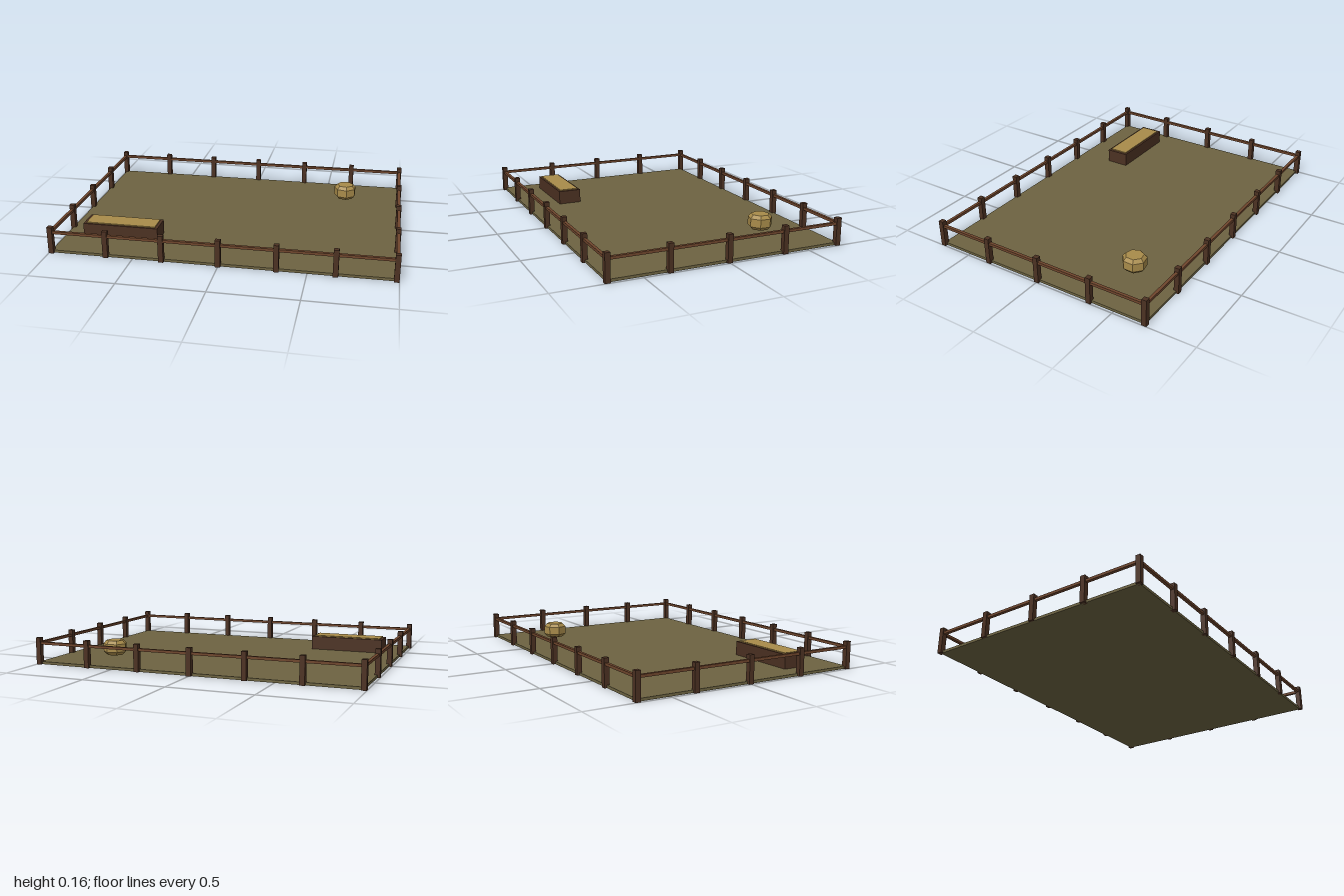
import * as THREE from 'three';

const mat = (name, color) => {
  const m = new THREE.MeshStandardMaterial({ color });
  m.name = name;
  return m;
};

export function createModel() {
  const group = new THREE.Group();
  const earth = mat('earth', 0x6d6341);
  const darkWood = mat('dark wood', 0x4c3122);
  const railWood = mat('rail wood', 0x6e452c);
  const hay = mat('hay', 0xa88b4a);

  // Adds a box whose underside sits at y
  const box = (name, material, [w, h, d], [x, y, z], parent = group) => {
    const mesh = new THREE.Mesh(new THREE.BoxGeometry(w, h, d), material);
    mesh.name = name;
    mesh.position.set(x, y + h / 2, z);
    parent.add(mesh);
  };

  const X = 0.985, Z = 0.695;
  box('ground', earth, [2 * X, 0.016, 2 * Z], [0, 0, 0]);

  // Fence: posts around the edge, one rail per side
  const fence = new THREE.Group();
  fence.name = 'fence';
  group.add(fence);
  const post = (x, z) => box('post', darkWood, [0.03, 0.162, 0.03], [x, 0, z], fence);
  for (const s of [-1, 1]) {
    for (let i = 0; i <= 6; i++) post(-X + (i * X) / 3, s * Z);
    for (let i = 1; i <= 3; i++) post(s * X, -Z + (i * Z) / 2);
    box('longRail', railWood, [2 * X, 0.016, 0.018], [0, 0.121, s * Z], fence);
    box('shortRail', railWood, [0.018, 0.016, 2 * Z], [s * X, 0.121, 0], fence);
  }

  // Feeding trough filled with hay
  const trough = new THREE.Group();
  trough.name = 'trough';
  trough.position.set(-0.641, 0, 0.408);
  group.add(trough);
  box('troughBody', darkWood, [0.458, 0.084, 0.143], [0, 0.016, 0], trough);
  box('troughHay', hay, [0.423, 0.02, 0.118], [0, 0.086, 0], trough);

  // Seven-sided hay bale with bevelled rims
  const profile = [[0, 0.036], [0.053, 0.036], [0.072, 0.056], [0.072, 0.105], [0.053, 0.125], [0, 0.125]]
    .map(([r, y]) => new THREE.Vector2(r, y));
  const baleGeometry = new THREE.LatheGeometry(profile, 7, THREE.MathUtils.degToRad(62)).toNonIndexed();
  baleGeometry.computeVertexNormals();
  const baleMaterial = hay;
  const bale = new THREE.Mesh(baleGeometry, baleMaterial);
  bale.name = 'hayBale';
  bale.position.set(0.634, 0, -0.407);
  group.add(bale);

  return group;
}
